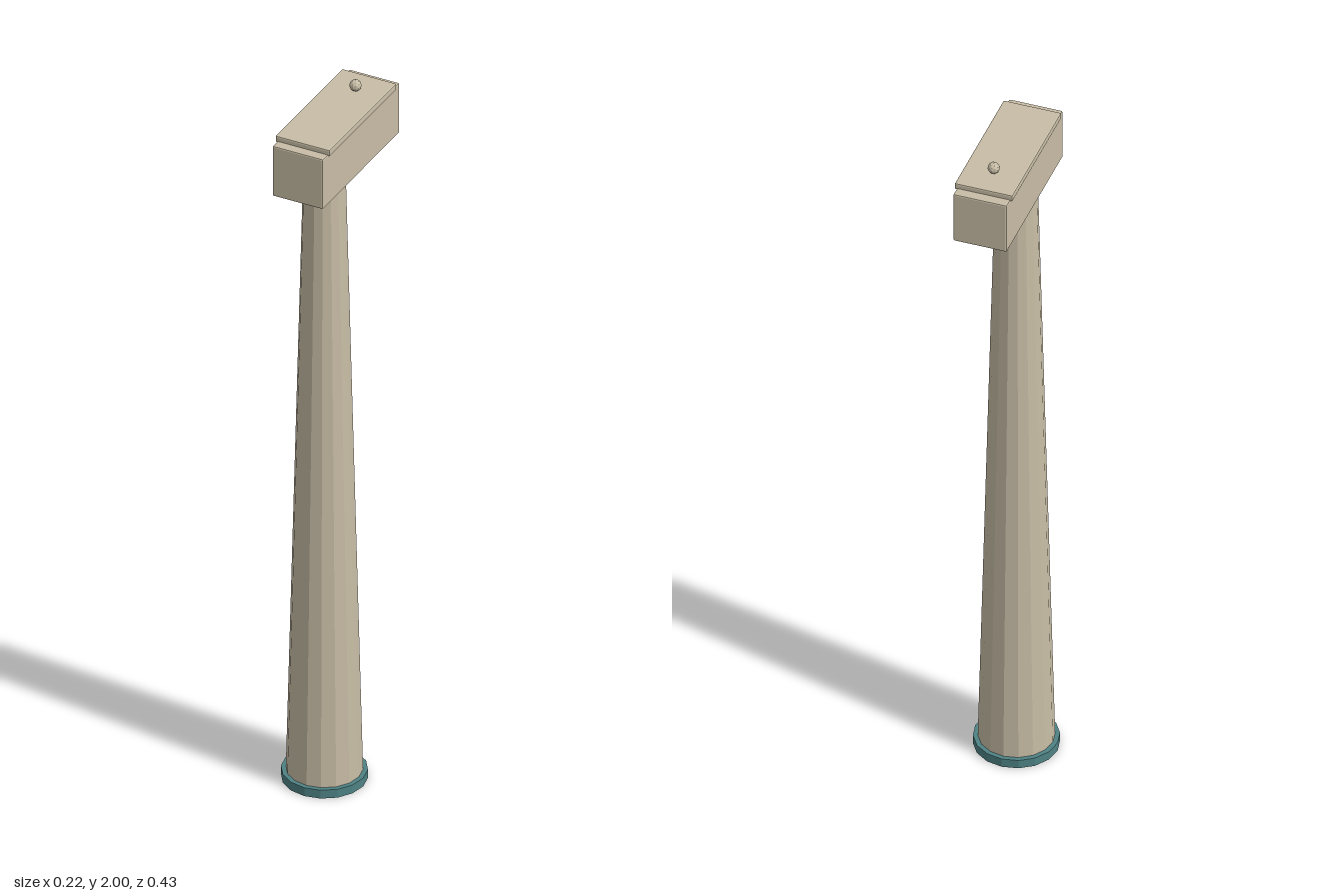
import * as THREE from 'three';
import { RoundedBoxGeometry } from 'three/addons/geometries/RoundedBoxGeometry.js';

export function createModel() {
  const model = new THREE.Group();
  const beige = new THREE.MeshStandardMaterial({ color: 0xc8bda6, flatShading: true });
  beige.name = 'beige paint';
  const teal = new THREE.MeshStandardMaterial({ color: 0x4e8284, flatShading: true });
  teal.name = 'teal paint';

  const add = (name, geometry, material, y, z) => {
    const mesh = new THREE.Mesh(geometry, material);
    mesh.name = name;
    mesh.position.set(0, y, z);
    model.add(mesh);
  };

  const towerZ = 0.064;
  const sides = 16;

  // Tapered tower, its top tucked slightly into the housing
  add('tower', new THREE.CylinderGeometry(0.055, 0.1, 1.81, sides), beige, 0.905, towerZ);

  // Flange ring around the foot of the tower
  const ring = [[0.1, 0], [0.112, 0], [0.112, 0.025], [0.097, 0.025]]
    .map(([r, y]) => new THREE.Vector2(r, y));
  add('baseRing', new THREE.LatheGeometry(ring, sides), teal, 0, towerZ);

  // Housing with softened edges and a wider, shorter roof plate
  add('housing', new RoundedBoxGeometry(0.146, 0.15, 0.426, 1, 0.004), beige, 1.88, 0);
  add('roofPlate', new RoundedBoxGeometry(0.158, 0.019, 0.372, 1, 0.004), beige, 1.96, 0);

  // Small sensor ball at the rear of the roof
  add('sensorBall', new THREE.IcosahedronGeometry(0.016, 1), beige, 1.984, -0.108);

  return model;
}
